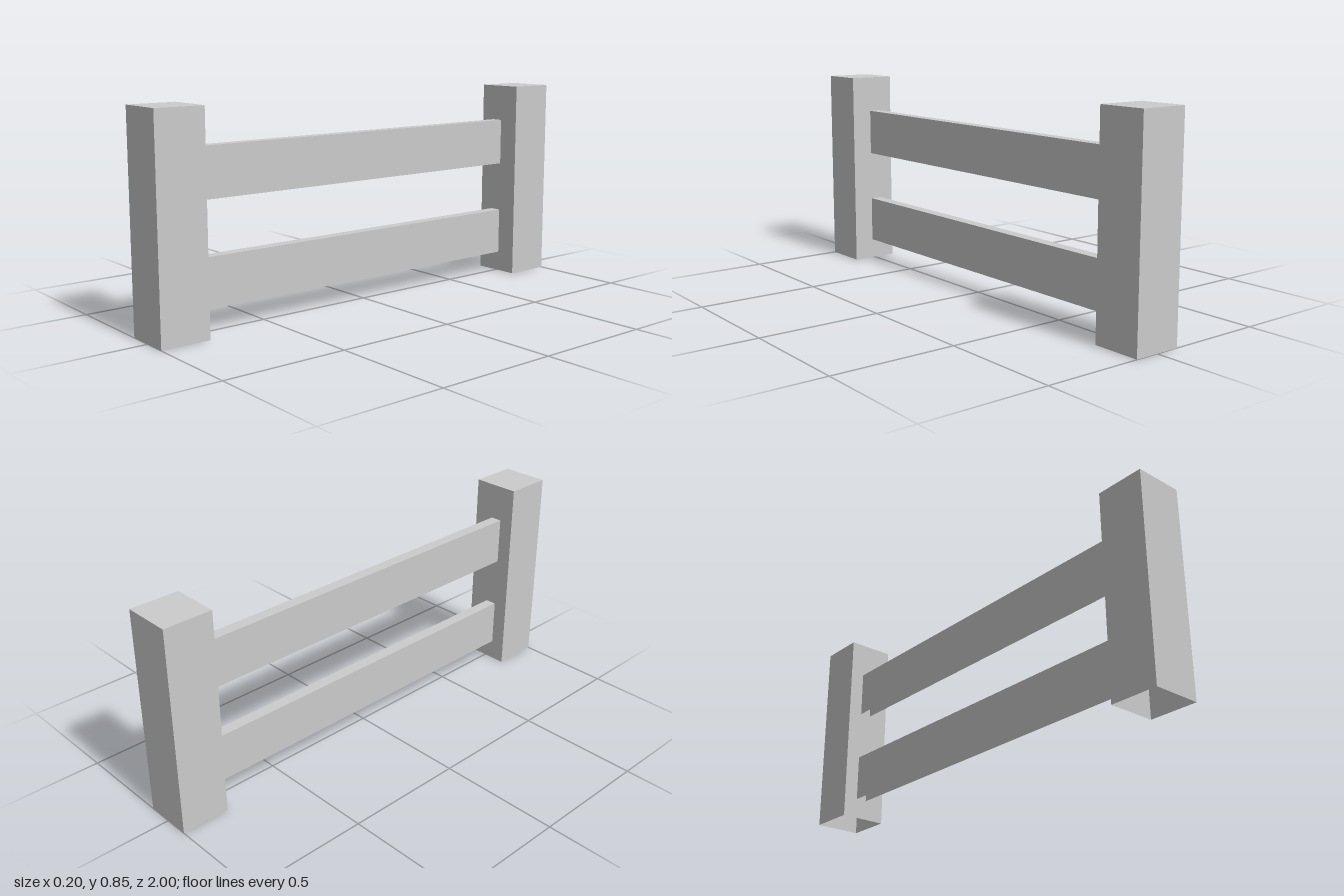
import * as THREE from 'three';

const material = new THREE.MeshStandardMaterial({
  color: 0xcccccc, flatShading: true, side: THREE.DoubleSide,
});

// Box with only the listed sides kept (0 +x, 1 -x, 2 +y, 3 -y, 4 +z, 5 -z)
function openBox(name, size, position, sides) {
  const geometry = new THREE.BoxGeometry(...size);
  const index = Array.from(geometry.index.array);
  geometry.setIndex(sides.flatMap((s) => index.slice(s * 6, s * 6 + 6)));
  geometry.clearGroups();
  const mesh = new THREE.Mesh(geometry, material);
  mesh.name = name;
  mesh.position.set(...position);
  return mesh;
}

export function createModel() {
  const fence = new THREE.Group();
  fence.name = 'fence';

  // Square posts, hollow and open underneath
  const postHeight = 0.85;
  for (const [name, z] of [['frontPost', 0.9], ['backPost', -0.9]]) {
    fence.add(openBox(name, [0.2, postHeight, 0.2], [0, postHeight / 2, z], [0, 1, 2, 4, 5]));
  }

  // Thin rails between the posts, slightly off centre, open underneath and at the ends
  for (const [name, y] of [['lowerRail', 0.185], ['upperRail', 0.597]]) {
    fence.add(openBox(name, [0.048, 0.198, 1.6], [-0.013, y, 0], [0, 1, 2]));
  }
  return fence;
}
